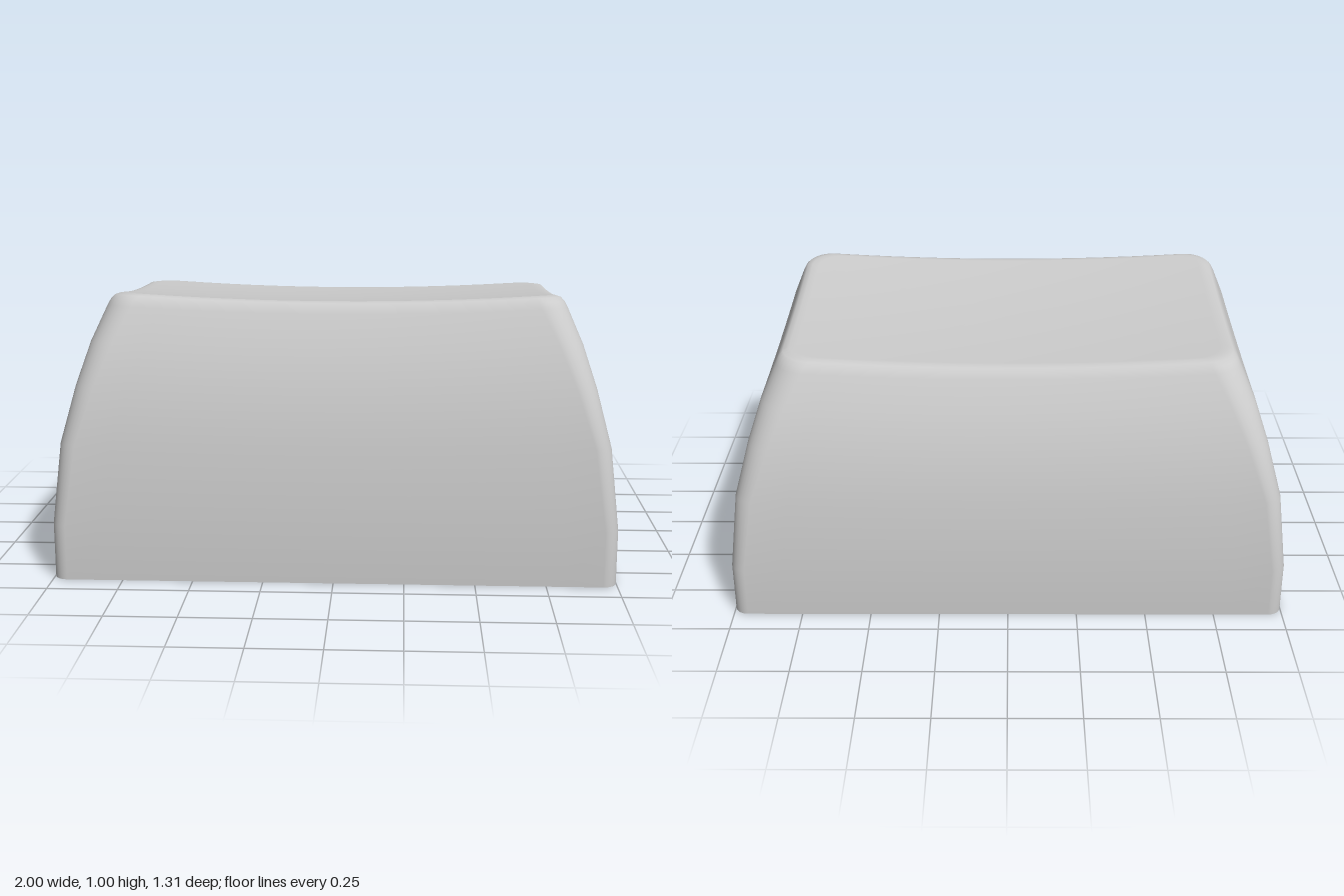
import * as THREE from 'three';

const CORNER = 8, EDGE = 14;

// Rounded rectangle in plan: half width, half depth, corner radius
function roundedLoop(hx, hz, r) {
  const corners = [[1, 1], [-1, 1], [-1, -1], [1, -1]];
  const arcs = corners.map(([sx, sz], q) => {
    const arc = [];
    for (let k = 0; k <= CORNER; k++) {
      const a = (q + k / CORNER) * Math.PI / 2;
      arc.push([sx * (hx - r) + r * Math.cos(a), sz * (hz - r) + r * Math.sin(a)]);
    }
    return arc;
  });
  const loop = [];
  arcs.forEach((arc, q) => {
    loop.push(...arc);
    const a = arc[CORNER], b = arcs[(q + 1) % 4][0];
    for (let k = 1; k < EDGE; k++) {
      const t = k / EDGE;
      loop.push([a[0] + (b[0] - a[0]) * t, a[1] + (b[1] - a[1]) * t]);
    }
  });
  return loop;
}

// Dished top, higher at the front and at both ends
const topHeight = (x, z) =>
  0.953 + 0.083 * z + 0.079 * z * z - 0.03 * (1 - (x / 0.8) ** 2);

// Side sections: height fraction, half width, half depth, corner radius
const SECTIONS = [
  [0, 1, 0.655, 0.05],
  [0.2, 1, 0.655, 0.05],
  [0.49, 0.97, 0.63, 0.06],
  [0.69, 0.92, 0.587, 0.075],
  [0.84, 0.873, 0.54, 0.09],
  [0.96, 0.823, 0.485, 0.1],
  [0.982, 0.812, 0.472, 0.1],
  [0.995, 0.8, 0.458, 0.1],
  [1, 0.78, 0.438, 0.1],
];

function capGeometry() {
  const pos = [], index = [];
  const rim = roundedLoop(0.78, 0.438, 0.1);
  const n = rim.length;

  // Curved sides up to the soft rim
  for (const [t, hx, hz, r] of SECTIONS) {
    roundedLoop(hx, hz, r).forEach(([x, z], i) => pos.push(x, t * topHeight(...rim[i]), z));
  }
  // Top surface in shrinking rings
  const rings = [0.97, 0.85, 0.7, 0.55, 0.4, 0.25, 0.1];
  for (const s of rings) {
    for (const [x, z] of rim) pos.push(x * s, topHeight(x * s, z * s), z * s);
  }
  const rows = SECTIONS.length + rings.length;
  for (let j = 0; j < rows - 1; j++) {
    for (let i = 0; i < n; i++) {
      const a = j * n + i, b = j * n + (i + 1) % n;
      index.push(a, a + n, b, b, a + n, b + n);
    }
  }
  const centre = pos.length / 3;
  pos.push(0, topHeight(0, 0), 0);
  for (let i = 0; i < n; i++) {
    index.push((rows - 1) * n + i, centre, (rows - 1) * n + (i + 1) % n);
  }

  const geometry = new THREE.BufferGeometry();
  geometry.setAttribute('position', new THREE.Float32BufferAttribute(pos, 3));
  geometry.setIndex(index);
  geometry.computeVertexNormals();
  return geometry;
}

// Flat base
function baseGeometry() {
  const shape = new THREE.Shape(
    roundedLoop(1, 0.655, 0.05).map(([x, z]) => new THREE.Vector2(x, z)));
  return new THREE.ShapeGeometry(shape).rotateX(Math.PI / 2);
}

export function createModel() {
  const group = new THREE.Group();
  group.name = 'keycap';
  const material = new THREE.MeshStandardMaterial({ color: 0xcccccc });
  const shell = new THREE.Mesh(capGeometry(), material);
  shell.name = 'capShell';
  const base = new THREE.Mesh(baseGeometry(), material);
  base.name = 'base';
  group.add(shell, base);
  return group;
}
